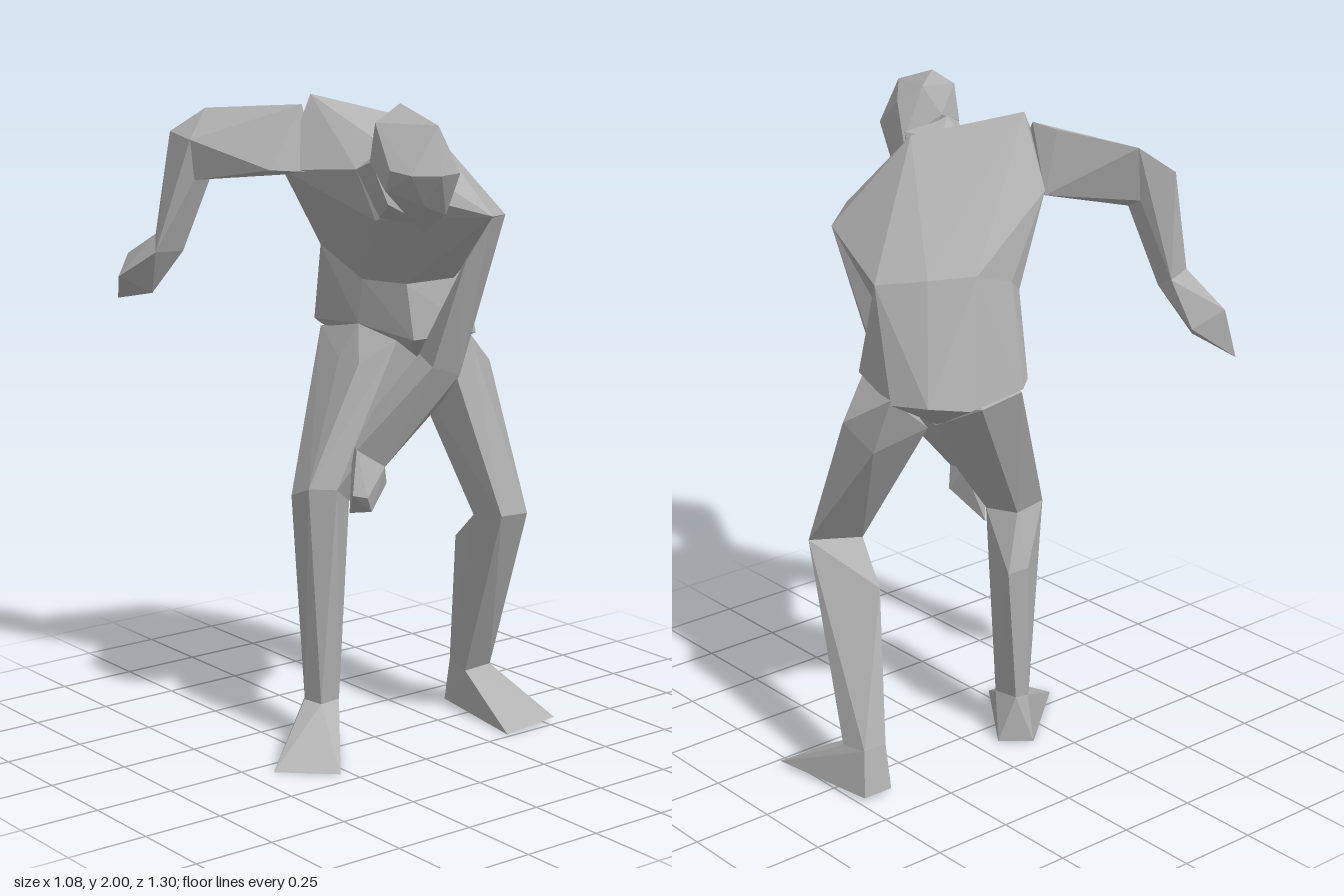
import * as THREE from 'three';
import { ConvexGeometry } from 'three/addons/geometries/ConvexGeometry.js';

export function createModel() {
  const model = new THREE.Group();
  model.name = 'stoopingFigure';
  const clay = new THREE.MeshStandardMaterial({ color: 0xb2b2b2 });
  clay.name = 'clayGrey';

  // Each part is a faceted solid stretched over the cross-sections at its ends
  function part(name, ...rings) {
    const points = rings.flat().map((p) => new THREE.Vector3(...p));
    const mesh = new THREE.Mesh(new ConvexGeometry(points), clay);
    mesh.name = name;
    model.add(mesh);
  }

  // A limb is a chain of solids sharing the ring at each joint
  function limb(names, rings) {
    names.forEach((name, i) => part(name, rings[i], rings[i + 1]));
  }

  // Torso, bent forward and leaning to the right
  const shoulders = [
    [-0.2, 1.98, -0.045], [-0.19, 1.77, -0.15], [-0.31, 1.77, -0.03], [-0.26, 1.77, 0.075],
    [-0.155, 1.84, 0.28], [-0.23, 1.79, 0.21], [-0.1, 1.71, 0.34], [-0.17, 1.64, 0.22],
    [0.04, 1.905, 0.18], [0.08, 1.655, 0.44], [0.225, 1.635, 0.325],
  ];
  const waist = [
    [0.155, 1.605, -0.255], [0.25, 1.585, -0.15], [0.33, 1.555, -0.01],
    [0.22, 1.42, 0.1], [0.04, 1.42, 0.1], [-0.01, 1.42, -0.05], [-0.05, 1.51, -0.2],
    [0, 1.55, -0.225],
  ];
  const hips = [
    [0.23, 1.235, -0.315], [0.335, 1.25, -0.255], [0.37, 1.235, -0.13], [0.29, 1.25, 0.12],
    [0.06, 1.25, 0.11], [0, 1.28, -0.08], [-0.015, 1.27, -0.28], [0.02, 1.25, -0.3],
    [0.17, 1.12, -0.1],
  ];
  limb(['chest', 'pelvis'], [shoulders, waist, hips]);

  // Head and neck
  part('neck', [
    [-0.34, 1.84, 0.42], [-0.28, 1.87, 0.4], [-0.13, 1.84, 0.42], [-0.15, 1.65, 0.43],
    [-0.29, 1.72, 0.43], [-0.23, 1.79, 0.21], [-0.155, 1.84, 0.28], [-0.09, 1.71, 0.33],
    [-0.17, 1.65, 0.24],
  ]);
  part('head', [
    [-0.28, 2, 0.47], [-0.2, 1.97, 0.42], [-0.35, 1.95, 0.45], [-0.26, 1.95, 0.61],
    [-0.15, 1.92, 0.48], [-0.37, 1.83, 0.54], [-0.345, 1.82, 0.6], [-0.28, 1.82, 0.65],
    [-0.2, 1.82, 0.63], [-0.125, 1.81, 0.42], [-0.155, 1.8, 0.54], [-0.355, 1.77, 0.5],
    [-0.28, 1.73, 0.58], [-0.2, 1.7, 0.57], [-0.13, 1.69, 0.46], [-0.18, 1.632, 0.445],
    [-0.345, 1.84, 0.42], [-0.25, 1.88, 0.39],
  ]);

  // Right arm, swung out behind
  limb(['rightUpperArm', 'rightForearm', 'rightHand'], [
    [[-0.22, 1.95, -0.06], [-0.24, 1.94, -0.145], [-0.19, 1.755, -0.15],
      [-0.345, 1.77, -0.045], [-0.26, 1.77, 0.075]],
    [[-0.33, 1.92, -0.39], [-0.41, 1.85, -0.46], [-0.44, 1.84, -0.31],
      [-0.42, 1.72, -0.32], [-0.36, 1.73, -0.32], [-0.35, 1.76, -0.38]],
    [[-0.495, 1.5, -0.42], [-0.41, 1.5, -0.4], [-0.405, 1.53, -0.46], [-0.47, 1.55, -0.455]],
    [[-0.54, 1.415, -0.555], [-0.39, 1.41, -0.565], [-0.48, 1.33, -0.655],
      [-0.46, 1.47, -0.625], [-0.46, 1.365, -0.495]],
  ]);

  // Left arm, reaching down across to the right knee
  limb(['leftUpperArm', 'leftForearm', 'leftHand'], [
    [[0.08, 1.65, 0.435], [0.225, 1.635, 0.325], [0.03, 1.52, 0.38], [0.19, 1.49, 0.19]],
    [[0.01, 1.2, 0.26], [0.1, 1.17, 0.275], [0.18, 1.2, 0.15], [0.1, 1.08, 0.2], [0.04, 1.22, 0.16]],
    [[-0.13, 0.94, 0.08], [-0.04, 0.88, 0.1], [-0.02, 0.9, 0.01], [-0.1, 0.96, 0.01]],
    [[-0.16, 0.81, 0.1], [-0.09, 0.75, 0.1], [-0.01, 0.82, 0.07], [-0.08, 0.72, -0.02],
      [-0.12, 0.8, 0.12]],
  ]);

  // Left leg, knee bent forward
  const leftKnee = [[0.215, 0.735, 0.335], [0.39, 0.7, 0.25], [0.25, 0.7, 0.165]];
  const leftAnkle = [[0.36, 0.14, 0], [0.47, 0.14, -0.01], [0.46, 0.15, -0.1], [0.38, 0.15, -0.1]];
  part('leftThigh', [
    [0.37, 1.25, -0.13], [0.26, 1.25, 0.13], [0.405, 1.14, 0.05], [0.2, 1.2, 0.1],
    [0.21, 1.12, -0.1], [0.38, 1.07, -0.06],
  ], leftKnee);
  part('leftShin', leftKnee, [[0.3, 0.595, 0.02]], leftAnkle);
  part('leftFoot', leftAnkle, [
    [0.335, 0, 0.235], [0.535, 0.012, 0.225], [0.48, 0.01, -0.125], [0.38, 0.01, -0.125],
  ]);

  // Right leg, planted and turned outward
  const rightKnee = [
    [-0.24, 0.82, -0.01], [-0.18, 0.82, 0.05], [-0.09, 0.76, -0.01], [-0.12, 0.77, -0.12],
    [-0.23, 0.78, -0.11],
  ];
  const rightAnkle = [
    [-0.2, 0.14, -0.09], [-0.19, 0.14, -0.02], [-0.115, 0.14, -0.03], [-0.12, 0.15, -0.12],
    [-0.16, 0.15, -0.13],
  ];
  part('rightThigh', [
    [0, 1.28, -0.08], [-0.06, 1.18, 0], [-0.05, 1.18, -0.11], [0.02, 1.25, 0.08],
    [0.17, 1.15, 0.04], [0.02, 1.24, -0.295], [0.17, 1.22, -0.295], [0.18, 1.12, -0.1],
  ], rightKnee);
  part('rightShin', rightKnee, [[-0.065, 0.59, -0.145], [-0.13, 0.6, -0.16]], rightAnkle);
  part('rightFoot', rightAnkle, [
    [-0.425, 0, 0.06], [-0.28, 0, 0.195], [-0.075, 0, -0.09], [-0.16, 0, -0.16],
  ]);

  return model;
}
